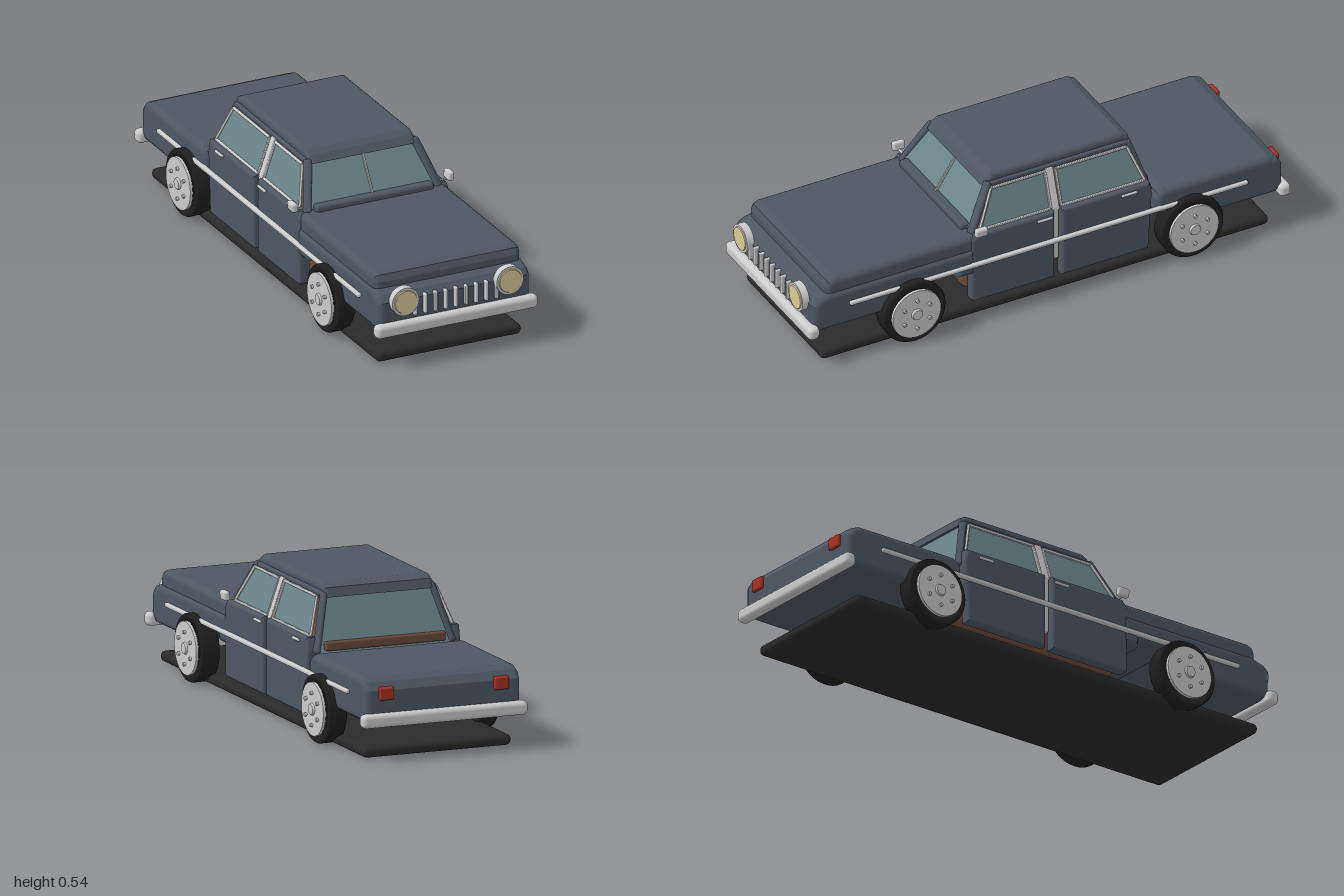
import * as THREE from 'three';
import { RoundedBoxGeometry } from 'three/addons/geometries/RoundedBoxGeometry.js';

const mat = (color) => new THREE.MeshStandardMaterial({ color, side: THREE.DoubleSide });

export function createModel() {
  const car = new THREE.Group();
  car.name = 'car';
  const paint = mat(0x4d5763), chrome = mat(0xcccccc), glass = mat(0x6b858b), rubber = mat(0x1f1f1f);
  const brown = mat(0x6b4a3c), cream = mat(0xdccb97), red = mat(0xa83222), dark = mat(0x2a2a2a);
  const V = (x, y, z) => new THREE.Vector3(x, y, z);

  function add(name, geo, material, parent = car) {
    const m = new THREE.Mesh(geo, material);
    m.name = name;
    parent.add(m);
    return m;
  }

  // Rounded box given by its limits on each axis
  function box(name, [x0, x1], [y0, y1], [z0, z1], r, material, parent) {
    const geo = new RoundedBoxGeometry(x1 - x0, y1 - y0, z1 - z0, 3, r);
    geo.translate((x0 + x1) / 2, (y0 + y1) / 2, (z0 + z1) / 2);
    return add(name, geo, material, parent);
  }

  // Side profile of [z, y] points, extruded across x with rounded edges
  function slab(name, pts, x0, x1, bevel, material) {
    const shape = new THREE.Shape(pts.map(([z, y]) => new THREE.Vector2(-z, y)));
    const geo = new THREE.ExtrudeGeometry(shape, {
      depth: x1 - x0 - 2 * bevel, bevelSize: bevel, bevelThickness: bevel, bevelOffset: -bevel, bevelSegments: 4,
    });
    geo.rotateY(Math.PI / 2).translate(x0 + bevel, 0, 0);
    return add(name, geo, material);
  }

  // Straight bar between two points
  function bar(name, a, b, w, d, material, r = 0.004) {
    const m = add(name, new RoundedBoxGeometry(w, d, a.distanceTo(b), 2, r), material);
    m.position.copy(a).lerp(b, 0.5);
    m.lookAt(b);
    return m;
  }

  // Flat four-cornered pane
  function pane(name, a, b, c, d) {
    const geo = new THREE.BufferGeometry().setFromPoints([a, b, c, d]);
    geo.setIndex([0, 1, 2, 0, 2, 3]);
    geo.computeVertexNormals();
    return add(name, geo, glass);
  }

  // Base plate and cabin tub
  box('basePlate', [-0.295, 0.295], [0.005, 0.045], [-0.925, 0.93], 0.018, dark);
  box('cabinTub', [-0.235, 0.235], [0.08, 0.335], [-0.435, 0.31], 0.022, brown);

  // Nose with raised underside behind the front wheels
  slab('frontBody', [[0.95, 0.285], [0.972, 0.26], [0.972, 0.175], [0.945, 0.145], [0.6, 0.145],
    [0.52, 0.22], [0.37, 0.22], [0.37, 0.19], [0.3, 0.19], [0.3, 0.3], [0.9, 0.3]], -0.31, 0.31, 0.025, paint);
  slab('hood', [[0.915, 0.285], [0.915, 0.32], [0.905, 0.345], [0.88, 0.355], [0.29, 0.355],
    [0.29, 0.275], [0.88, 0.275]], -0.3, 0.3, 0.025, paint);

  // Rear deck
  slab('rearBody', [[-0.45, 0.27], [-0.46, 0.295], [-0.485, 0.31], [-0.92, 0.31], [-0.955, 0.295],
    [-0.975, 0.265], [-0.975, 0.175], [-0.95, 0.145], [-0.57, 0.145], [-0.45, 0.22]], -0.31, 0.31, 0.025, paint);

  // Roof
  slab('roof', [[0.225, 0.503], [0.205, 0.53], [0.18, 0.545], [-0.355, 0.545], [-0.385, 0.53],
    [-0.395, 0.495], [-0.37, 0.495], [-0.35, 0.505]], -0.218, 0.218, 0.018, paint);

  // Windscreen, its cowl and divider, and the rear window
  box('cowl', [-0.24, 0.24], [0.335, 0.378], [0.285, 0.325], 0.012, paint);
  pane('windscreen', V(-0.255, 0.36, 0.3), V(0.255, 0.36, 0.3), V(0.215, 0.51, 0.205), V(-0.215, 0.51, 0.205));
  bar('windscreenDivider', V(0, 0.375, 0.3), V(0, 0.505, 0.217), 0.007, 0.01, chrome, 0.002);
  pane('rearWindow', V(0.265, 0.3, -0.445), V(-0.265, 0.3, -0.445), V(-0.212, 0.505, -0.382), V(0.212, 0.505, -0.382));
  bar('rearShelf', V(-0.24, 0.325, -0.443), V(0.24, 0.325, -0.443), 0.025, 0.035, brown, 0.008);

  // Side plane of the cabin, leaning inwards
  const sideX = (y, inset = 0) => 0.284 - (y - 0.36) * 0.345 - inset;

  for (const s of [1, -1]) {
    const side = s > 0 ? 'left' : 'right';
    const span = (a, b) => (s > 0 ? [a, b] : [-b, -a]);
    const P = (y, z, inset = 0) => V(s * sideX(y, inset), y, z);

    // Pillars
    bar(side + 'FrontPillar', V(s * 0.268, 0.345, 0.3), V(s * 0.216, 0.515, 0.2), 0.032, 0.026, paint, 0.01);
    bar(side + 'RearPillar', V(s * 0.272, 0.3, -0.44), V(s * 0.214, 0.512, -0.375), 0.028, 0.022, paint, 0.009);
    bar(side + 'CentrePillarLower', V(s * 0.275, 0.14, -0.045), V(s * 0.275, 0.36, -0.045), 0.03, 0.02, chrome);
    bar(side + 'CentrePillarUpper', P(0.35, -0.045, 0.008), P(0.505, -0.045, 0.008), 0.03, 0.022, chrome);
    bar(side + 'RoofRail', V(s * 0.217, 0.506, 0.2), V(s * 0.217, 0.506, -0.38), 0.024, 0.02, paint, 0.008);

    // Doors
    const [dx0, dx1] = span(0.262, 0.307);
    slab(side + 'FrontDoor', [[0.315, 0.08], [0.315, 0.335], [0.295, 0.36], [-0.03, 0.36], [-0.03, 0.07], [0.305, 0.07]],
      dx0, dx1, 0.012, paint);
    slab(side + 'RearDoor', [[-0.06, 0.07], [-0.06, 0.36], [-0.425, 0.36], [-0.435, 0.31], [-0.42, 0.07]],
      dx0, dx1, 0.012, paint);

    // Side windows with bright frames
    const windows = {
      FrontWindow: [[0.362, 0.27], [0.498, 0.198], [0.498, -0.025], [0.362, -0.025]],
      RearWindow: [[0.362, -0.068], [0.498, -0.068], [0.498, -0.365], [0.362, -0.415]],
    };
    for (const [name, c] of Object.entries(windows)) {
      pane(side + name, ...c.map(([y, z]) => P(y, z, 0.006)));
      c.forEach(([y, z], i) => {
        const [y2, z2] = c[(i + 1) % 4];
        bar(side + name + 'Frame', P(y, z), P(y2, z2), 0.01, 0.01, chrome, 0.003);
      });
    }

    // Door handles, side strip, mirror
    for (const z of [0.012, -0.337])
      box(side + 'DoorHandle', span(0.298, 0.314), [0.334, 0.344], [z - 0.032, z + 0.032], 0.004, chrome);
    box(side + 'SideStrip', span(0.302, 0.323), [0.23, 0.246], [-0.825, 0.825], 0.006, chrome);
    bar(side + 'MirrorStalk', V(s * 0.265, 0.366, 0.285), V(s * 0.315, 0.366, 0.285), 0.008, 0.008, chrome, 0.003);
    const mirror = add(side + 'Mirror', new RoundedBoxGeometry(0.024, 0.036, 0.05, 3, 0.009), chrome);
    mirror.position.set(s * 0.319, 0.38, 0.283);
    mirror.rotation.z = -s * 0.12;

    // Headlight and tail light
    const rim = add(side + 'HeadlightRim', new THREE.CylinderGeometry(0.055, 0.055, 0.03, 40), chrome);
    rim.rotation.x = Math.PI / 2;
    rim.position.set(s * 0.213, 0.262, 0.981);
    const lens = add(side + 'HeadlightLens', new THREE.CylinderGeometry(0.044, 0.047, 0.006, 40), cream);
    lens.rotation.x = Math.PI / 2;
    lens.position.set(s * 0.213, 0.262, 0.997);
    box(side + 'TailLight', span(0.2, 0.258), [0.23, 0.278], [-0.987, -0.96], 0.007, red);

    // Wheels
    for (const [end, z] of [['Front', 0.567], ['Rear', -0.585]]) {
      const wheel = new THREE.Group();
      wheel.name = side + end + 'Wheel';
      wheel.position.set(s * 0.303, 0.129, z);
      wheel.rotation.z = -s * Math.PI / 2;
      car.add(wheel);
      const profile = [[0.098, -0.037], [0.118, -0.037], [0.127, -0.028], [0.128, 0.03], [0.124, 0.037], [0.098, 0.037], [0.098, -0.037]];
      add('tire', new THREE.LatheGeometry(profile.map(([r, y]) => new THREE.Vector2(r, y)), 48), rubber, wheel);
      add('rim', new THREE.CylinderGeometry(0.099, 0.099, 0.064, 40), rubber, wheel);
      add('hubDisc', new THREE.CylinderGeometry(0.1, 0.1, 0.01, 40), chrome, wheel).position.y = 0.044;
      add('hubCap', new THREE.CylinderGeometry(0.02, 0.024, 0.01, 24), chrome, wheel).position.y = 0.052;
      add('innerHub', new THREE.CylinderGeometry(0.04, 0.04, 0.012, 24), chrome, wheel).position.y = -0.04;
      for (let i = 0; i < 6; i++) {
        const a = (i * Math.PI) / 3;
        const bolt = add('wheelBolt', new THREE.CylinderGeometry(0.007, 0.007, 0.01, 8), chrome, wheel);
        bolt.position.set(Math.cos(a) * 0.06, 0.053, Math.sin(a) * 0.06);
      }
    }
  }

  // Grille bars and bumpers
  for (let i = -4; i <= 4; i++)
    box('grilleBar', [i * 0.0415 - 0.006, i * 0.0415 + 0.006], [0.195, 0.273], [0.965, 0.988], 0.004, chrome);
  box('frontBumper', [-0.33, 0.33], [0.13, 0.182], [0.953, 1.0], 0.018, chrome);
  box('rearBumper', [-0.33, 0.33], [0.13, 0.182], [-1.0, -0.953], 0.018, chrome);

  return car;
}
